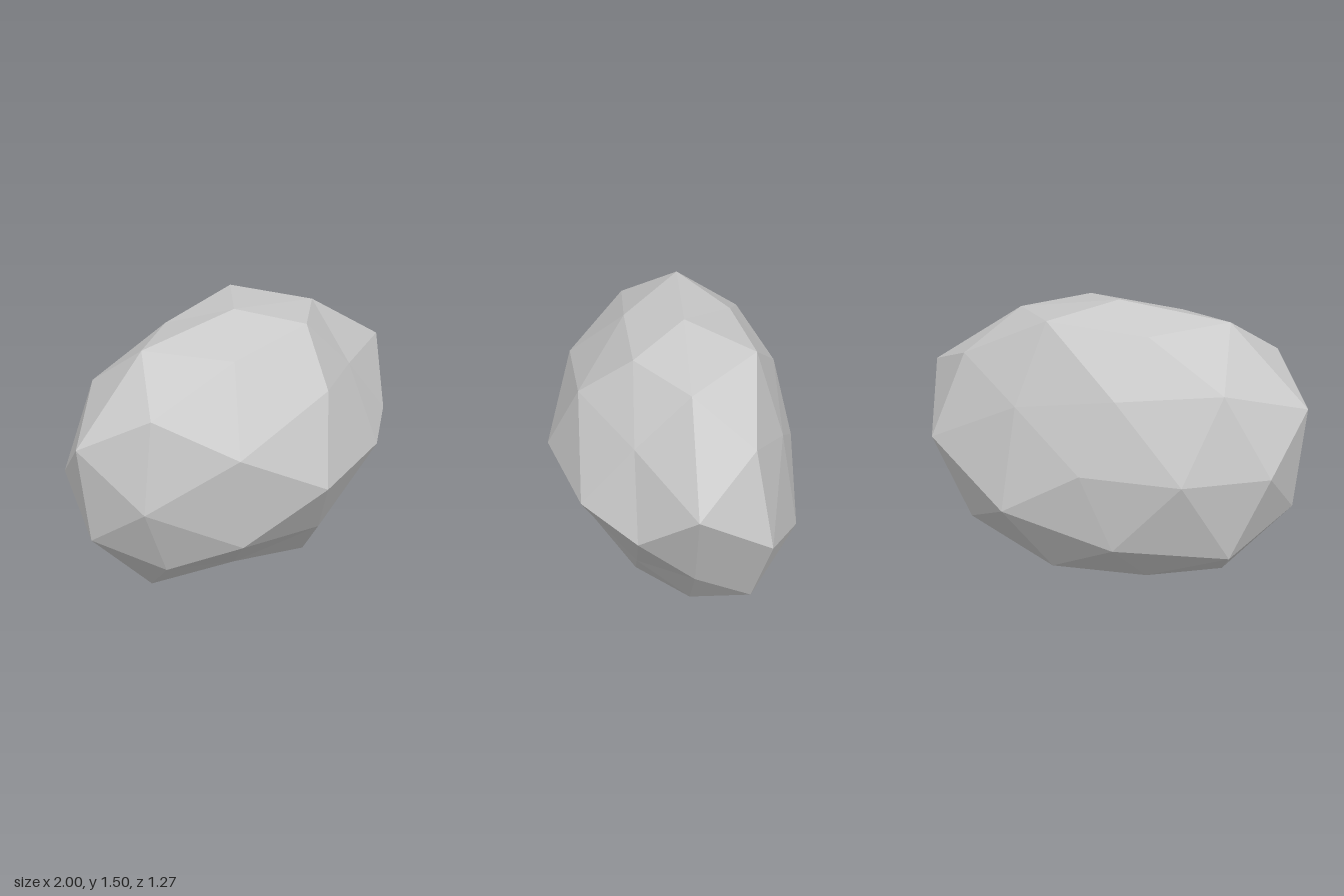
import * as THREE from 'three';

// Faceted boulder: rings of points stacked from the front pole to the back pole,
// each ring running counter-clockwise as seen from the front.
const FRONT = [-0.03, 0.78, 0.635];
const BACK = [-0.03, 0.78, -0.635];
const FRONT_INNER = [
  [0.48, 0.78, 0.465], [0.12, 1.2, 0.46], [-0.48, 1.05, 0.51], [-0.43, 0.53, 0.47], [0.12, 0.4, 0.42],
];
const FRONT_OUTER = [
  [0.8, 0.78, 0.2], [0.52, 1.13, 0.2], [0.22, 1.435, 0.19], [-0.27, 1.39, 0.22], [-0.77, 1.24, 0.22],
  [-0.85, 0.78, 0.25], [-0.69, 0.37, 0.19], [-0.24, 0.21, 0.17], [0.22, 0.11, 0.2], [0.52, 0.43, 0.2],
];
const EQUATOR = [
  [1, 1.07], [0.5, 1.41], [-0.03, 1.5], [-0.6, 1.445], [-1, 1.05],
  [-0.95, 0.525], [-0.6, 0.105], [-0.03, 0], [0.5, 0.145], [0.8, 0.55],
].map(([x, y]) => [x, y, -0.07]);
const BACK_OUTER = [
  [0.86, 0.78, -0.43], [0.69, 1.23, -0.355], [0.22, 1.46, -0.4], [-0.27, 1.41, -0.32], [-0.67, 1.19, -0.4],
  [-0.9, 0.78, -0.35], [-0.72, 0.345, -0.395], [-0.27, 0.13, -0.32], [0.22, 0.13, -0.39], [0.69, 0.325, -0.36],
];
const BACK_INNER = [
  [0.34, 1.05, -0.53], [-0.18, 1.15, -0.545], [-0.53, 0.78, -0.59], [-0.18, 0.38, -0.58], [0.39, 0.52, -0.62],
];

function boulderGeometry() {
  const positions = [];
  const tri = (a, b, c) => positions.push(...a, ...b, ...c);
  const at = (ring, i) => ring[i % ring.length];

  // Front and back caps: five-sided fans, each surrounded by a ten-point ring
  for (let k = 0; k < 5; k++) {
    const a = at(FRONT_INNER, k), a2 = at(FRONT_INNER, k + 1);
    const [b0, b1, b2] = [0, 1, 2].map((n) => at(FRONT_OUTER, 2 * k + n));
    tri(FRONT, a, a2);
    tri(a, b0, b1);
    tri(a, b1, a2);
    tri(a2, b1, b2);

    const d = at(BACK_INNER, k), d2 = at(BACK_INNER, k + 1);
    const [c0, c1, c2] = [0, 1, 2].map((n) => at(BACK_OUTER, 2 * k + n));
    tri(c0, d, c1);
    tri(c1, d, c2);
    tri(c2, d, d2);
    tri(d, BACK, d2);
  }

  // Zigzag bands on both sides of the equator
  for (let i = 0; i < 10; i++) {
    const e = at(EQUATOR, i), e2 = at(EQUATOR, i + 1);
    const b = at(FRONT_OUTER, i), b2 = at(FRONT_OUTER, i + 1);
    const c = at(BACK_OUTER, i), c2 = at(BACK_OUTER, i + 1);
    tri(b, e, b2);
    tri(b2, e, e2);
    tri(e, c, c2);
    tri(e, c2, e2);
  }

  const geometry = new THREE.BufferGeometry();
  geometry.setAttribute('position', new THREE.Float32BufferAttribute(positions, 3));
  geometry.computeVertexNormals(); // unshared corners keep every facet flat
  return geometry;
}

export function createModel() {
  const stone = new THREE.MeshStandardMaterial({ color: 0xcacaca });
  stone.name = 'paleStoneGrey';

  const boulder = new THREE.Mesh(boulderGeometry(), stone);
  boulder.name = 'boulder';

  const group = new THREE.Group();
  group.name = 'rock';
  group.add(boulder);
  return group;
}
